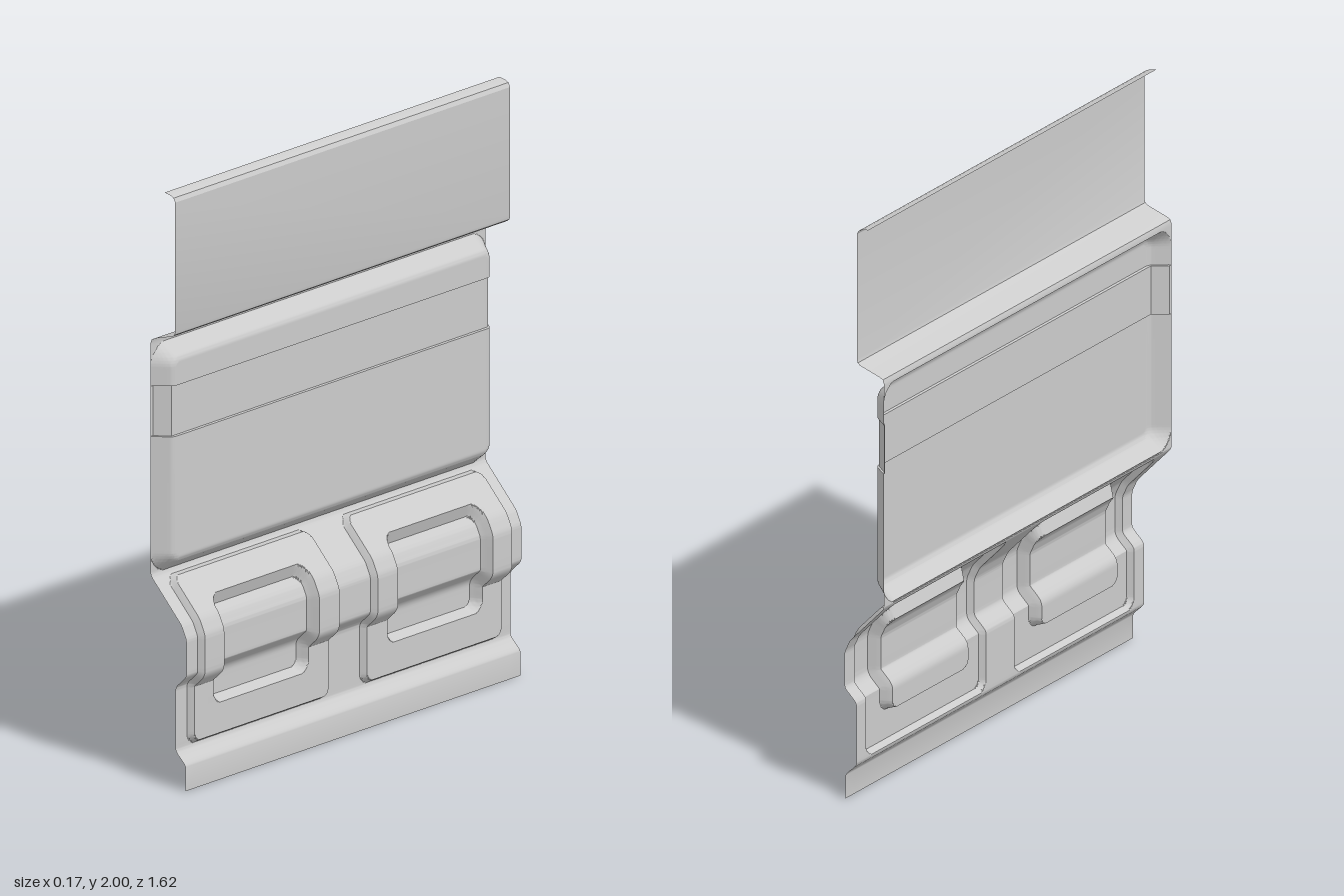
import * as THREE from 'three';
import { toCreasedNormals } from 'three/addons/utils/BufferGeometryUtils.js';

const HALF = 0.81; // half length of the pressed sheet along z
const material = new THREE.MeshStandardMaterial({ color: 0xcccccc, side: THREE.DoubleSide });

// Grid lines: start value followed by [end, steps] spans, dense where the metal bends
function lines(start, ...spans) {
  const out = [start];
  for (const [end, n] of spans) {
    const a = out[out.length - 1];
    for (let i = 1; i <= n; i++) out.push(a + (end - a) * i / n);
  }
  return out;
}
const mirrored = (half) => [...half.slice(1).reverse().map((v) => -v), ...half];

// Sheet surface over a grid; place(u, z) gives the point [x, y]
function sheet(name, us, zs, place) {
  const pos = [], index = [], w = zs.length;
  us.forEach((u, i) => zs.forEach((z, j) => {
    pos.push(...place(u, z), z);
    if (i && j) {
      const a = (i - 1) * w + j - 1, b = a + 1, c = a + w, d = c + 1;
      index.push(a, c, b, b, c, d);
    }
  }));
  const g = new THREE.BufferGeometry();
  g.setAttribute('position', new THREE.Float32BufferAttribute(pos, 3));
  g.setIndex(index);
  const mesh = new THREE.Mesh(toCreasedNormals(g, 0.45), material);
  mesh.name = name;
  return mesh;
}

// Piecewise linear lookup in [[key, value], ...]
function lerpTable(table, k) {
  if (k <= table[0][0]) return table[0][1];
  for (let i = 1; i < table.length; i++) {
    const [k0, v0] = table[i - 1], [k1, v1] = table[i];
    if (k <= k1) return v0 + (v1 - v0) * (k - k0) / (k1 - k0);
  }
  return table[table.length - 1][1];
}

// Depth inside a rounded rectangle (negative outside)
function inside(z, y, z0, z1, y0, y1, r) {
  const qz = Math.abs(z - (z0 + z1) / 2) - (z1 - z0) / 2 + r;
  const qy = Math.abs(y - (y0 + y1) / 2) - (y1 - y0) / 2 + r;
  return r - Math.hypot(Math.max(qz, 0), Math.max(qy, 0)) - Math.min(Math.max(qz, qy), 0);
}

// Upper panel with turned-back lip and the ledge below it
function upperPanel() {
  const profile = [[-0.03, 2], [-0.005, 1.995], [0.008, 1.989], [0.015, 1.975],
    [0.015, 1.54], [0.012, 1.528], [0.003, 1.521], [-0.075, 1.498], [-0.086, 1.492], [-0.09, 1.48], [-0.09, 1.47]];
  return sheet('upperPanel', profile.map((_, i) => i), [-HALF, HALF], (i) => profile[i]);
}

// Shallow pressed pan with a slightly recessed horizontal band
function middlePan() {
  const wall = [[0, 0], [0.036, 0.048], [0.044, 0.056], [0.056, 0.06]];
  const ys = lines(0.7, [0.79, 20], [1.1645, 2], [1.1655, 1], [1.3345, 2], [1.3355, 1], [1.38, 2], [1.472, 20]);
  const zs = mirrored(lines(0, [0.72, 3], [HALF, 20]));
  return sheet('middlePan', ys, zs, (y, z) => {
    const band = y > 1.165 && y < 1.335;
    const d = inside(z, y, -HALF, HALF, 0.7, 1.472, 0.075);
    const rise = band ? Math.min(lerpTable(wall, d - 0.008), 0.05) : lerpTable(wall, d);
    return [-0.09 + rise, y];
  });
}

// Lower panel: bent profile carrying two raised frames with sunken centres
function lowerPanel() {
  const profile = [[0, 0.06], [0.085, 0.06], [0.125, 0.017], [0.342, 0.017],
    [0.385, 0.063], [0.51, 0.063], [0.555, 0.042], [0.695, -0.09], [0.8, -0.09]];
  const bend = (y) => {
    let sum = 0;
    for (let i = -2; i <= 2; i++) sum += lerpTable(profile, y + i * 0.004);
    return sum / 5;
  };
  const ys = lines(0, [0.075, 1], [0.135, 12], [0.185, 12], [0.25, 3], [0.31, 15], [0.41, 18],
    [0.49, 4], [0.54, 12], [0.6, 15], [0.633, 4], [0.683, 12], [0.705, 5]);
  const zs = mirrored(lines(0, [0.08, 1], [0.13, 12], [0.19, 2], [0.25, 14], [0.59, 2],
    [0.65, 14], [0.705, 2], [0.755, 12], [HALF, 1]));
  return sheet('lowerPanel', ys, zs, (y, z) => {
    const az = Math.abs(z);
    const frame = THREE.MathUtils.clamp(inside(az, y, 0.08, 0.755, 0.135, 0.683, 0.04) / 0.012, 0, 1);
    const recess = THREE.MathUtils.clamp(inside(az, y, 0.19, 0.65, 0.25, 0.6, 0.045) / 0.016, 0, 1);
    const offset = 0.021 * frame - 0.04 * recess;
    // offset along the profile normal
    const slope = (bend(y + 0.008) - bend(y - 0.008)) / 0.016;
    const n = Math.hypot(1, slope);
    return [bend(y) + offset / n, y - offset * slope / n];
  });
}

export function createModel() {
  const group = new THREE.Group();
  group.name = 'pressedPanel';
  group.add(upperPanel(), middlePan(), lowerPanel());
  return group;
}
